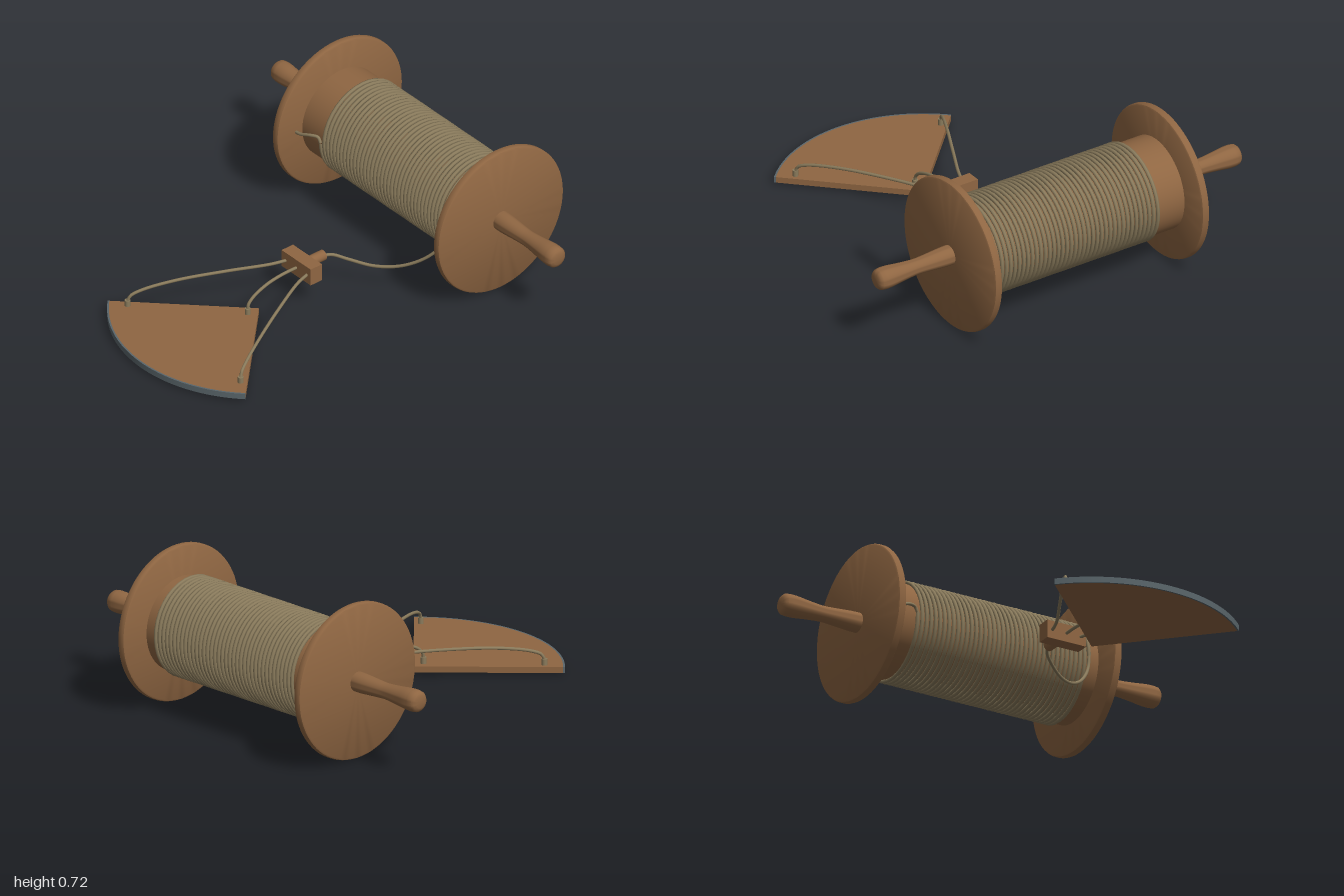
import * as THREE from 'three';
import { toCreasedNormals } from 'three/addons/utils/BufferGeometryUtils.js';

const wood = new THREE.MeshStandardMaterial({ name: 'wood', color: 0x8f6642 });
const rope = new THREE.MeshStandardMaterial({ name: 'rope', color: 0x8a7b5c });
const lead = new THREE.MeshStandardMaterial({ name: 'lead', color: 0x5a666b });

const AXLE_Y = 0.362, AXLE_Z = -0.637;   // reel axis, parallel to x
const MID_X = 0.055;                     // centre line of the float and its bridle
const ROPE_R = 0.0075;

// Line wound around the drum, running downwards at the front
class Winding extends THREE.Curve {
  constructor(x0, x1, radius, turns) {
    super();
    Object.assign(this, { x0, x1, radius, turns, arcLengthDivisions: 2000 });
  }
  getPoint(t, target = new THREE.Vector3()) {
    const a = t * this.turns * Math.PI * 2;
    return target.set(
      THREE.MathUtils.lerp(this.x0, this.x1, t),
      AXLE_Y - this.radius * Math.sin(a),
      AXLE_Z + this.radius * Math.cos(a));
  }
}

function add(parent, name, geometry, material, x = 0, y = 0, z = 0) {
  const mesh = new THREE.Mesh(geometry, material);
  mesh.name = name;
  mesh.position.set(x, y, z);
  parent.add(mesh);
  return mesh;
}

// Profile of [radius, distance] pairs turned around the x axis
function turned(profile, segments) {
  const points = profile.map(([r, d]) => new THREE.Vector2(r, d));
  const geometry = new THREE.LatheGeometry(points, segments).rotateZ(-Math.PI / 2);
  return toCreasedNormals(geometry, 0.6);
}

function cord(parent, name, points, segments = 40) {
  const curve = new THREE.CatmullRomCurve3(points.map(p => new THREE.Vector3(...p)));
  return add(parent, name, new THREE.TubeGeometry(curve, segments, ROPE_R, 8), rope);
}

// Flat quarter-circle outline opening towards +z; inner radius 0 gives a full sector
function sector(inner, outer, height) {
  const a0 = -Math.PI * 0.75, a1 = -Math.PI * 0.25;
  const shape = new THREE.Shape();
  if (inner === 0) {
    shape.moveTo(0, 0);
    shape.lineTo(outer * Math.cos(a0), outer * Math.sin(a0));
  }
  shape.absarc(0, 0, outer, a0, a1, false);
  if (inner > 0) shape.absarc(0, 0, inner, a1, a0, true);
  shape.closePath();
  const geometry = new THREE.ExtrudeGeometry(shape, { depth: height, bevelEnabled: false, curveSegments: 32 });
  return toCreasedNormals(geometry.rotateX(-Math.PI / 2), 0.5);
}

function createReel() {
  const reel = new THREE.Group();
  reel.name = 'reel';
  add(reel, 'drum', new THREE.CylinderGeometry(0.219, 0.219, 1.08, 64, 1, true).rotateZ(-Math.PI / 2),
    wood, 0, AXLE_Y, AXLE_Z);

  const flange = turned([
    [0, 0.535], [0.351, 0.535], [0.358, 0.539], [0.361, 0.546],
    [0.361, 0.564], [0.358, 0.571], [0.351, 0.575], [0, 0.575],
  ], 80);
  const grip = new THREE.SplineCurve([
    [0.046, 0.57], [0.045, 0.62], [0.038, 0.72], [0.037, 0.77],
    [0.043, 0.84], [0.05, 0.9], [0.051, 0.935],
  ].map(p => new THREE.Vector2(...p))).getPoints(24).map(p => [p.x, p.y]);
  const handle = turned([...grip, [0.048, 0.956], [0.04, 0.966], [0.027, 0.971], [0, 0.971]], 32);

  [['left', 0], ['right', Math.PI]].forEach(([side, turn]) => {
    add(reel, side + 'Flange', flange, wood, 0, AXLE_Y, AXLE_Z).rotation.y = turn;
    add(reel, side + 'Handle', handle, wood, 0, AXLE_Y, AXLE_Z).rotation.y = turn;
  });

  // Wound line with its tied-off start
  const winding = new Winding(-0.4, 0.482, 0.226, 38);
  add(reel, 'woundLine', new THREE.TubeGeometry(winding, 38 * 36, 0.009, 7), rope);
  cord(reel, 'lineStart', [
    [-0.54, 0.362, -0.382], [-0.5, 0.37, -0.381], [-0.45, 0.386, -0.392],
    [-0.415, 0.386, -0.408], [-0.4, AXLE_Y, AXLE_Z + 0.226],
  ]);
  return reel;
}

function createToggle() {
  const toggle = new THREE.Group();
  toggle.name = 'toggle';
  add(toggle, 'toggleBlock', new THREE.BoxGeometry(0.2, 0.085, 0.066), wood, MID_X, 0.163, 0.078);
  add(toggle, 'togglePeg', new THREE.CylinderGeometry(0.025, 0.025, 0.1, 24).rotateX(Math.PI / 2),
    wood, MID_X, 0.163, 0.004);
  return toggle;
}

function createFloat() {
  const float = new THREE.Group();
  float.name = 'float';
  add(float, 'floatBoard', sector(0, 0.664, 0.028), wood, MID_X, 0.012, 0.325);
  add(float, 'leadRim', sector(0.664, 0.672, 0.028), lead, MID_X, 0.012, 0.325);

  // Knots at the corners, each with its bridle cord
  const knot = new THREE.CylinderGeometry(0.013, 0.013, 0.03, 12);
  [['right', -1], ['left', 1]].forEach(([side, s]) => {
    add(float, side + 'Knot', knot, rope, MID_X + s * 0.39, 0.054, 0.757);
    cord(float, side + 'Bridle', [
      [MID_X + s * 0.07, 0.163, 0.1], [MID_X + s * 0.095, 0.162, 0.18],
      [MID_X + s * 0.185, 0.157, 0.36], [MID_X + s * 0.29, 0.141, 0.56],
      [MID_X + s * 0.362, 0.112, 0.7], [MID_X + s * 0.385, 0.088, 0.747],
      [MID_X + s * 0.39, 0.06, 0.757],
    ]);
  });
  add(float, 'apexKnot', knot, rope, MID_X, 0.054, 0.39);
  cord(float, 'apexBridle', [
    [MID_X, 0.163, 0.1], [MID_X, 0.162, 0.19], [MID_X, 0.148, 0.28],
    [MID_X, 0.117, 0.355], [MID_X, 0.088, 0.385], [MID_X, 0.06, 0.39],
  ]);
  return float;
}

export function createModel() {
  const model = new THREE.Group();
  model.name = 'logLineReel';
  model.add(createReel(), createToggle(), createFloat());

  // Slack line from the drum to the toggle
  cord(model, 'slackLine', [
    [0.482, AXLE_Y, AXLE_Z + 0.226], [0.472, 0.3, -0.402], [0.435, 0.235, -0.37],
    [0.38, 0.178, -0.328], [0.3, 0.132, -0.27], [0.21, 0.116, -0.205],
    [0.12, 0.135, -0.135], [0.07, 0.155, -0.085], [MID_X, 0.163, -0.035],
  ], 60);
  return model;
}
